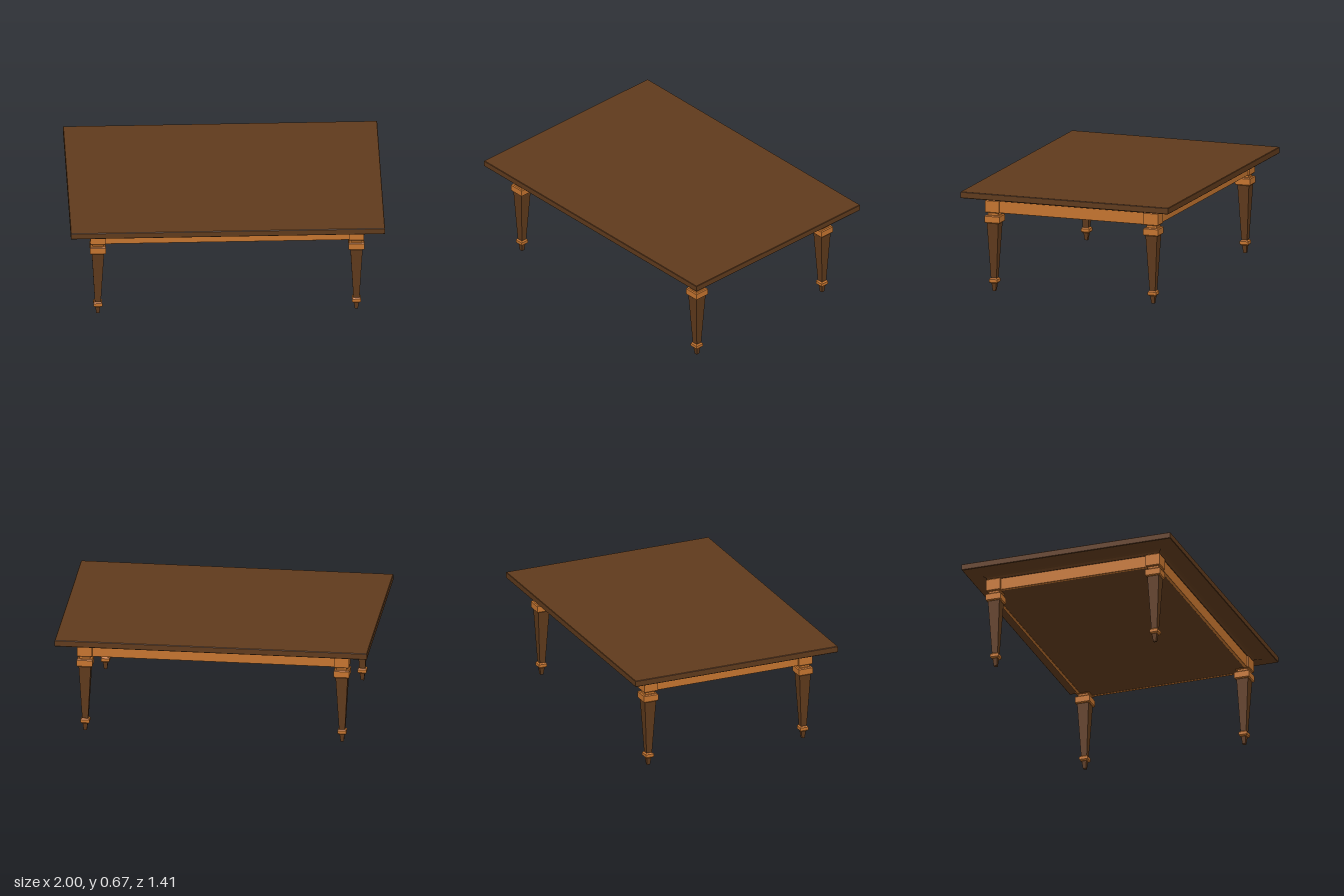
import * as THREE from 'three';

const dark = new THREE.MeshStandardMaterial({ color: 0x5f3a1c, flatShading: true });
const light = new THREE.MeshStandardMaterial({ color: 0xc4742f, flatShading: true });

// Stacks rectangular sections [y, halfX, halfZ] from bottom to top and caps both ends.
function rectLoft(name, material, sections) {
  const corners = [[1, 1], [1, -1], [-1, -1], [-1, 1]];
  const pos = [];
  const point = (s, i) => {
    const [y, hx, hz = hx] = sections[s];
    const [cx, cz] = corners[i % 4];
    return [cx * hx, y, cz * hz];
  };
  const quad = (a, b, c, d) => pos.push(...a, ...b, ...c, ...a, ...c, ...d);
  const last = sections.length - 1;
  for (let s = 0; s < last; s++)
    for (let i = 0; i < 4; i++)
      quad(point(s, i), point(s, i + 1), point(s + 1, i + 1), point(s + 1, i));
  quad(point(0, 3), point(0, 2), point(0, 1), point(0, 0));
  quad(point(last, 0), point(last, 1), point(last, 2), point(last, 3));
  const geo = new THREE.BufferGeometry();
  geo.setAttribute('position', new THREE.Float32BufferAttribute(pos, 3));
  geo.computeVertexNormals();
  const mesh = new THREE.Mesh(geo, material);
  mesh.name = name;
  return mesh;
}

// Square block with chamfered top and bottom edges.
const block = (name, material, y0, y1, hx, hz, c) => rectLoft(name, material, [
  [y0, hx - c, hz - c], [y0 + c, hx, hz], [y1 - c, hx, hz], [y1, hx - c, hz - c],
]);

function createLeg() {
  const leg = new THREE.Group();
  leg.name = 'leg';
  leg.add(
    rectLoft('foot', dark, [[0, 0.01], [0.052, 0.016]]),
    block('ankleRing', light, 0.05, 0.085, 0.028, 0.028, 0.008),
    rectLoft('taperedShaft', dark, [[0.084, 0.019], [0.447, 0.039]]),
    block('collar', light, 0.445, 0.496, 0.05, 0.05, 0.006),
    rectLoft('neck', light, [[0.495, 0.034], [0.515, 0.034]]),
    block('cornerPost', light, 0.513, 0.596, 0.048, 0.048, 0.005),
  );
  return leg;
}

export function createModel() {
  const table = new THREE.Group();
  table.name = 'table';
  const legX = 0.823, legZ = 0.54;

  // Top slab and the cove moulding under it
  table.add(block('tabletop', dark, 0.624, 0.665, 1, 0.707, 0.003));
  const cove = [[0.592, 0.04], [0.606, 0.05], [0.614, 0.064], [0.619, 0.084], [0.625, 0.1]];
  table.add(rectLoft('coveMoulding', dark, cove.map(([y, o]) => [y, legX + o, legZ + o])));

  // Aprons between the posts, closed underneath by a panel
  const inset = 0.036, y0 = 0.515, y1 = 0.595, t = 0.02;
  for (const s of [-1, 1]) {
    const long = block('longApron', light, y0, y1, legX, t / 2, 0.001);
    long.position.z = s * (legZ + inset - t / 2);
    const short = block('shortApron', light, y0, y1, t / 2, legZ, 0.001);
    short.position.x = s * (legX + inset - t / 2);
    table.add(long, short);
  }
  table.add(rectLoft('bottomPanel', dark, [
    [y0 + 0.001, legX + inset - t, legZ + inset - t],
    [y1, legX + inset - t, legZ + inset - t],
  ]));

  // Four legs
  for (const sx of [-1, 1])
    for (const sz of [-1, 1]) {
      const leg = createLeg();
      leg.position.set(sx * legX, 0, sz * legZ);
      table.add(leg);
    }
  return table;
}
